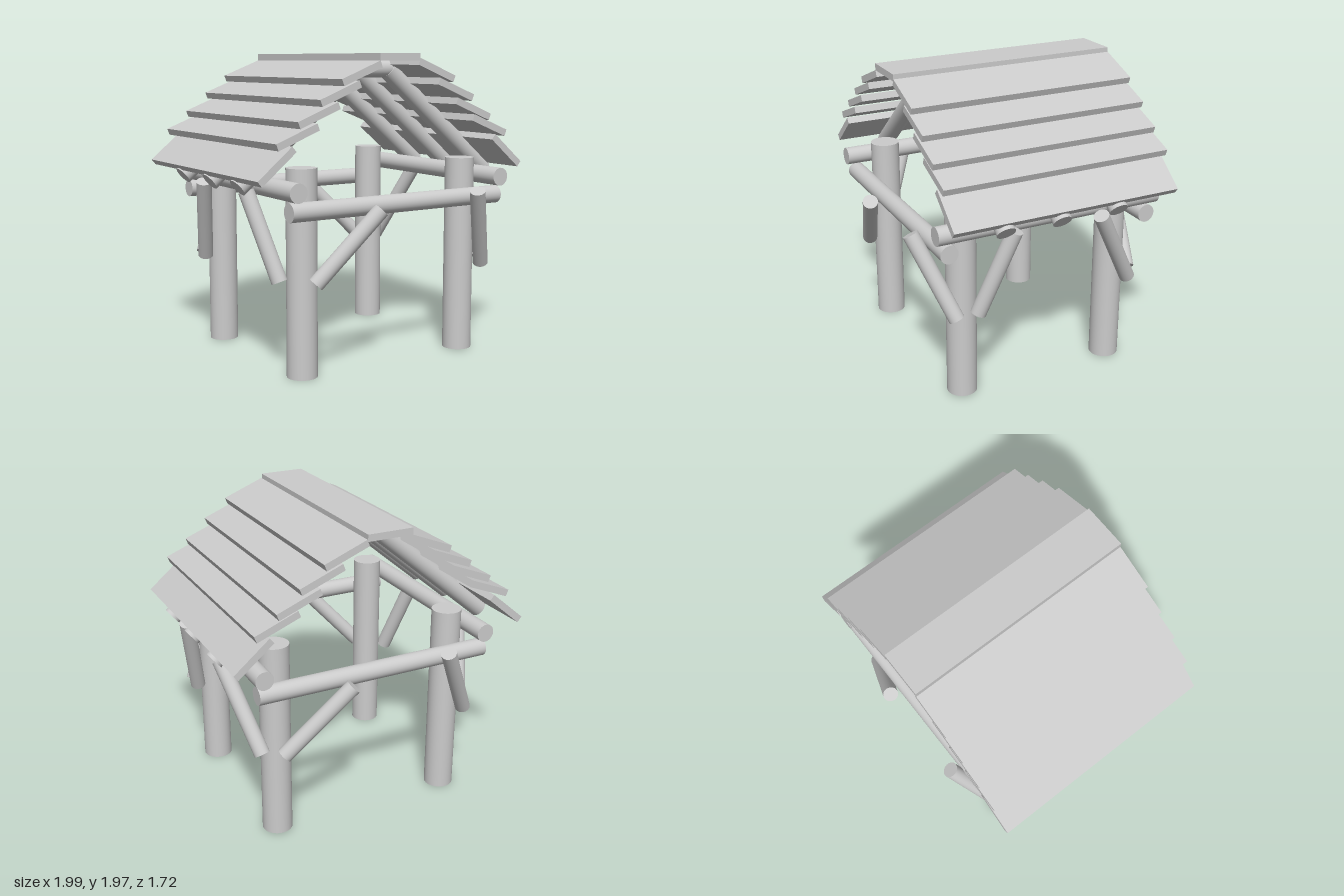
import * as THREE from 'three';

const material = new THREE.MeshStandardMaterial({ color: 0xcccccc });
const UP = new THREE.Vector3(0, 1, 0);

// Round log running from point a to point b
function log(name, a, b, radius) {
  const start = new THREE.Vector3(...a);
  const axis = new THREE.Vector3(...b).sub(start);
  const mesh = new THREE.Mesh(new THREE.CylinderGeometry(radius, radius, axis.length(), 32), material);
  mesh.position.copy(start).addScaledVector(axis, 0.5);
  mesh.quaternion.setFromUnitVectors(UP, axis.normalize());
  mesh.name = name;
  return mesh;
}

// Roof board running front to back, tilted about z
function board(name, x, y, width, angle) {
  const mesh = new THREE.Mesh(new THREE.BoxGeometry(width, 0.044, 1.523), material);
  mesh.position.set(x, y, -0.036);
  mesh.rotation.z = THREE.MathUtils.degToRad(angle);
  mesh.name = name;
  return mesh;
}

export function createModel() {
  const model = new THREE.Group();
  model.name = 'logShelter';

  // Four posts
  for (const x of [-0.59, 0.633])
    for (const z of [0.523, -0.54])
      model.add(log('post', [x, 0, z], [x, 1.29, z], 0.096));

  // Cross beams outside the posts, front and back
  for (const z of [0.677, -0.697])
    model.add(log('crossBeam', [-0.767, 1.048, z], [0.815, 1.048, z], 0.058));

  // Side beams carrying the rafters
  for (const x of [-0.746, 0.789])
    model.add(log('sideBeam', [x, 1.17, 0.755], [x, 1.17, -0.766], 0.059));

  // Three rafter frames, each with a short collar at the ridge
  for (const z of [0.38, 0.005, -0.39]) {
    const frame = new THREE.Group();
    frame.name = 'rafterFrame';
    frame.add(
      log('leftRafter', [0.143, 1.864, z], [0.957, 1.182, z], 0.06),
      log('rightRafter', [-0.12, 1.864, z], [-0.945, 1.176, z], 0.06),
      log('collar', [-0.125, 1.872, z], [0.147, 1.872, z], 0.056)
    );
    model.add(frame);
  }

  // Diagonal braces from post to beam: lower end, upper end
  const braces = [
    [[-0.58, 0.6, 0.667], [-0.19, 1.035, 0.79]],
    [[0.757, 0.58, 0.61], [0.548, 1.1, 0.81]],
    [[-0.69, 0.6, -0.64], [-0.436, 1.115, -0.82]],
    [[0.64, 0.6, -0.69], [0.233, 1.035, -0.815]],
    [[0.775, 0.6, 0.474], [0.89, 1.155, 0.286]],
    [[0.757, 0.6, -0.615], [0.89, 1.135, -0.31]],
    [[-0.727, 0.6, 0.49], [-0.84, 1.14, 0.29]],
    [[-0.727, 0.6, -0.53], [-0.84, 1.14, -0.3]]
  ];
  for (const [low, high] of braces) model.add(log('brace', low, high, 0.05));

  // Roof: ridge board, overlapping boards and a steeper eave board each side
  const roof = new THREE.Group();
  roof.name = 'roof';
  roof.add(board('ridgeBoard', -0.008, 1.946, 0.3, 0));
  const leftSide = [[0.275, 1.864], [0.43, 1.743], [0.575, 1.617], [0.714, 1.508]];
  const rightSide = [[-0.286, 1.85], [-0.436, 1.733], [-0.586, 1.61], [-0.73, 1.49]];
  for (const [x, y] of leftSide) roof.add(board('leftRoofBoard', x, y, 0.295, -21.5));
  for (const [x, y] of rightSide) roof.add(board('rightRoofBoard', x, y, 0.295, 21.5));
  roof.add(board('leftEaveBoard', 0.864, 1.337, 0.295, -39.8));
  roof.add(board('rightEaveBoard', -0.869, 1.328, 0.295, 39.8));
  model.add(roof);

  return model;
}
